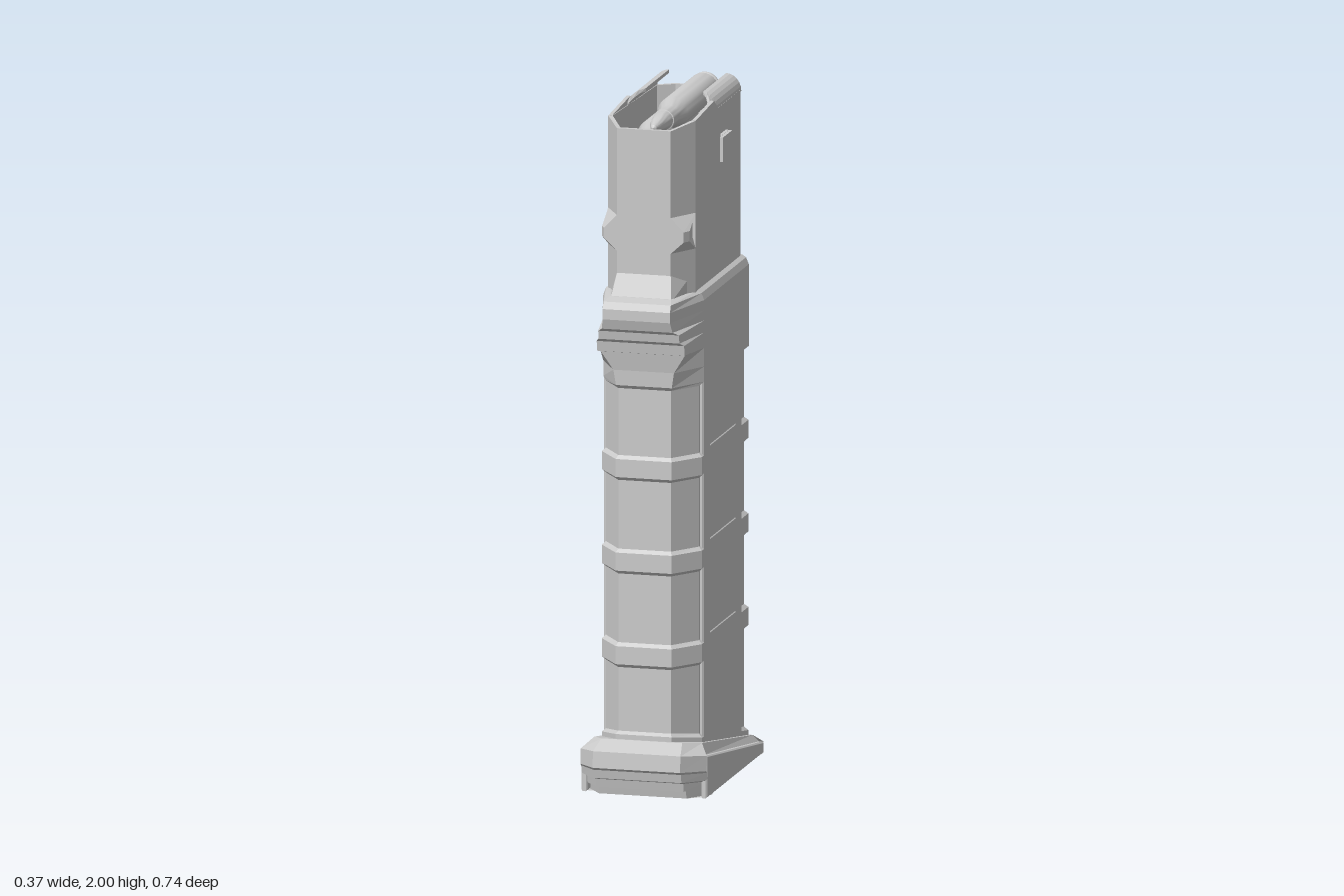
import * as THREE from 'three';
import { toCreasedNormals } from 'three/addons/utils/BufferGeometryUtils.js';

const grey = new THREE.MeshStandardMaterial({ color: 0xcccccc });
const greyThin = new THREE.MeshStandardMaterial({ color: 0xcccccc, side: THREE.DoubleSide });

// Height of the sloped joint between grip and floor plate
const slope = z => 0.1 + 0.175 * z;

// Skin closed rings of equal length with flat faces and end caps
function loft(rings, caps = true) {
  const out = [];
  const tri = (a, b, c) => out.push(...a, ...b, ...c);
  const n = rings[0].length;
  for (let i = 0; i + 1 < rings.length; i++) {
    const a = rings[i], b = rings[i + 1];
    for (let j = 0; j < n; j++) {
      const k = (j + 1) % n;
      tri(a[j], a[k], b[k]);
      tri(a[j], b[k], b[j]);
    }
  }
  if (caps) {
    const a = rings[0], b = rings[rings.length - 1];
    for (let j = 1; j + 1 < n; j++) {
      tri(a[0], a[j + 1], a[j]);
      tri(b[0], b[j], b[j + 1]);
    }
  }
  const g = new THREE.BufferGeometry();
  g.setAttribute('position', new THREE.Float32BufferAttribute(out, 3));
  g.computeVertexNormals();
  return g;
}

// Chamfered cross-section; y may depend on z, inset sinks the flat sides
function section(y, { w, f, fw, fz, b, bw, bz, inset = 0, iz = fz }) {
  const half = [[fw, f], [w, fz]];
  if (inset) half.push([w - inset, iz], [w - inset, bz]);
  half.push([w, bz], [bw, b]);
  const all = [...half, ...half.slice().reverse().map(([x, z]) => [-x, z])];
  return all.map(([x, z]) => [x, typeof y === 'function' ? y(z) : y, z]);
}

// Mirrored side plates drawn as [z, y] outlines with holes
function sidePlates(parent, name, outline, holes, x0, depth, bevel = 0) {
  for (const s of [1, -1]) {
    const path = pts => pts.map(([z, y]) => new THREE.Vector2(-s * z, y));
    const shape = new THREE.Shape(path(outline));
    holes.forEach(h => shape.holes.push(new THREE.Path(path(h))));
    const g = new THREE.ExtrudeGeometry(shape, {
      depth: depth - bevel, bevelEnabled: bevel > 0, bevelThickness: bevel,
      bevelSize: bevel, bevelOffset: -bevel, bevelSegments: 1,
    });
    g.rotateY(s * Math.PI / 2).translate(s * x0, 0, 0);
    add(parent, name, g);
  }
}

function add(parent, name, geometry, material = grey) {
  const m = new THREE.Mesh(geometry, material);
  m.name = name;
  parent.add(m);
  return m;
}

const rect = (z0, z1, y0, y1) => [[z0, y0], [z1, y0], [z1, y1], [z0, y1]];

export function createModel() {
  const model = new THREE.Group();
  model.name = 'magazine';

  // Floor plate: wedge with stepped front lip
  const base = { w: 0.187, fw: 0.13, b: -0.37, bw: 0.08, bz: -0.33, inset: 0.014, iz: 0.27 };
  const height = z => 0.083 + 0.15 * z;
  const lip = [[0, 0.3], [0.18, 0.305], [0.2, 0.33], [0.38, 0.335], [0.42, 0.355], [0.6, 0.36], [0.65, 0.37], [1, 0.365]];
  const baseRings = lip.map(([t, f]) => section(z => t * height(z), { ...base, f, fz: f - 0.075 }));
  baseRings.push(section(z => slope(z) + 0.01,
    { ...base, w: 0.16, f: 0.31, fw: 0.12, fz: 0.24, b: -0.35, bw: 0.07, bz: -0.31, iz: 0.24, inset: 0.001 }));
  add(model, 'floorPlate', loft(baseRings));
  sidePlates(model, 'floorPlateSide',
    [[0.285, 0.0], [0.285, height(0.285)], [-0.33, height(-0.33)], [-0.33, 0]],
    [[[0.26, 0.045], [0.24, 0.1], [-0.015, 0.062], [-0.015, 0.045]]], 0.173, 0.014, 0.004);

  // Grip core
  const core = { w: 0.138, f: 0.28, fw: 0.078, fz: 0.195, b: -0.325, bw: 0.055, bz: -0.295 };
  add(model, 'gripCore', loft([section(slope, core), section(1.22, core)]));

  // Ribs around the grip, with a sloped band at the foot
  const rib = { w: 0.149, f: 0.29, fw: 0.083, fz: 0.2, b: -0.343, bw: 0.06, bz: -0.303 };
  const band = (name, lo, hi) => add(model, name, loft([
    section(lo, core),
    section(z => (lo.call ? lo(z) : lo) + 0.01, rib),
    section(z => (hi.call ? hi(z) : hi) - 0.01, rib),
    section(hi, core)]));
  for (const y of [0.37, 0.645, 0.92]) band('gripRib', y, y + 0.073);
  band('footBand', z => slope(z) - 0.02, z => slope(z) + 0.034);

  // Side rails framing the panels
  const windows = [0.443, 0.718, 0.993].map(y => rect(-0.165, 0.12, y, y + 0.203));
  windows.push([[-0.165, 0.105], [0.12, 0.16], [0.12, 0.37], [-0.165, 0.37]]);
  sidePlates(model, 'sideRails',
    [[-0.23, slope(-0.23)], [0.182, slope(0.182)], [0.182, 1.21], [-0.23, 1.21]],
    windows, 0.136, 0.013, 0.005);

  // Collar with stepped front stop: [y, front z, front half width]
  const collar = { w: 0.15, fz: 0.18, b: -0.345, bw: 0.065, bz: -0.303 };
  const stop = [[1.2, 0.288, 0.083], [1.245, 0.29, 0.09], [1.3, 0.3, 0.125], [1.305, 0.32, 0.13],
    [1.335, 0.325, 0.13], [1.345, 0.34, 0.12], [1.37, 0.345, 0.12], [1.38, 0.36, 0.105],
    [1.41, 0.37, 0.1], [1.44, 0.37, 0.1], [1.46, 0.36, 0.1]];
  const collarRings = stop.map(([y, f, fw]) => section(y, { ...collar, f, fw,
    w: y > 1.45 ? 0.142 : 0.15, b: y > 1.45 ? -0.335 : -0.345 }));
  collarRings.unshift(section(1.19, core));
  collarRings.push(section(1.468, { ...collar, w: 0.13, f: 0.32, fw: 0.09, b: -0.325 }));
  add(model, 'collar', loft(collarRings));

  // Front ramp above the collar
  const ramp = { ...collar, w: 0.125, b: 0, bw: 0.1, bz: 0.05 };
  add(model, 'frontRamp', loft([section(1.46, { ...ramp, f: 0.32, fw: 0.09 }),
    section(1.53, { ...ramp, f: 0.288, fw: 0.08 })]));

  // Hollow upper tube, its front corners squared out into lugs
  const tube = { w: 0.13, f: 0.288, fw: 0.08, fz: 0.2, b: -0.322, bw: 0.075, bz: -0.285, inset: 0.01, iz: 0.2 };
  const lug = { ...tube, fw: 0.118, fz: 0.265 };
  const inner = { ...tube, w: 0.118, f: 0.274, fw: 0.074, fz: 0.195, b: -0.31, bw: 0.07, bz: -0.28, inset: 0.001, iz: 0.195 };
  const rim = z => (z > 0.1 && z < 0.25 ? 1.97 : 1.955);
  add(model, 'upperTube', loft([
    section(1.45, tube), section(1.595, tube), section(1.63, lug), section(1.66, lug),
    section(1.7, tube), section(rim, tube), section(rim, inner), section(1.8, inner)], false));

  // Tube side walls with slots above and below the catch bridge
  sidePlates(model, 'tubeSide',
    [[0.2, 1.45], [0.2, 1.97], [0, 1.985], [-0.04, 1.955], [-0.285, 1.955], [-0.285, 1.45]],
    [rect(-0.155, -0.07, 1.865, 1.91), rect(-0.155, -0.07, 1.76, 1.792)], 0.119, 0.011);
  for (const s of [1, -1]) {
    const bridge = add(model, 'catchBridge', new THREE.BoxGeometry(0.02, 0.073, 0.1));
    bridge.position.set(s * 0.13, 1.828, -0.112);
  }

  // Curled feed lips, flaring back into the wall at the front
  for (const s of [1, -1]) {
    const arc = (z, sweep) => {
      const pts = [];
      for (const thick of [0, 0.01]) {
        for (let i = 0; i <= 6; i++) {
          const a = (thick ? 6 - i : i) / 6 * sweep * Math.PI / 2;
          pts.push([s * (0.085 + (0.045 - thick) * Math.cos(a)), 1.95 + (0.05 - thick) * Math.sin(a), z]);
        }
      }
      return pts;
    };
    add(model, 'feedLip', loft([arc(-0.295, 1), arc(-0.045, 1), arc(-0.025, 0.75), arc(0, 0.5), arc(0.03, 0.35)]), greyThin);
  }

  // Follower under the rounds
  const follower = { ...inner, w: 0.112, f: 0.268, b: -0.305, inset: 0 };
  add(model, 'follower', loft([section(1.78, follower), section(1.84, follower)]));

  // Two staggered rounds
  const profile = [[0, -0.305], [0.043, -0.305], [0.043, -0.298], [0.036, -0.295], [0.036, -0.288],
    [0.045, -0.28], [0.045, 0.05], [0.031, 0.095], [0.031, 0.15], [0.028, 0.151], [0.027, 0.18],
    [0.02, 0.225], [0.009, 0.26], [0, 0.267]].map(p => new THREE.Vector2(...p));
  const round = toCreasedNormals(new THREE.LatheGeometry(profile, 28).rotateX(Math.PI / 2), 0.5);
  for (const [x, y] of [[0.021, 1.955], [-0.038, 1.886]]) add(model, 'round', round).position.set(x, y, 0);

  return model;
}
